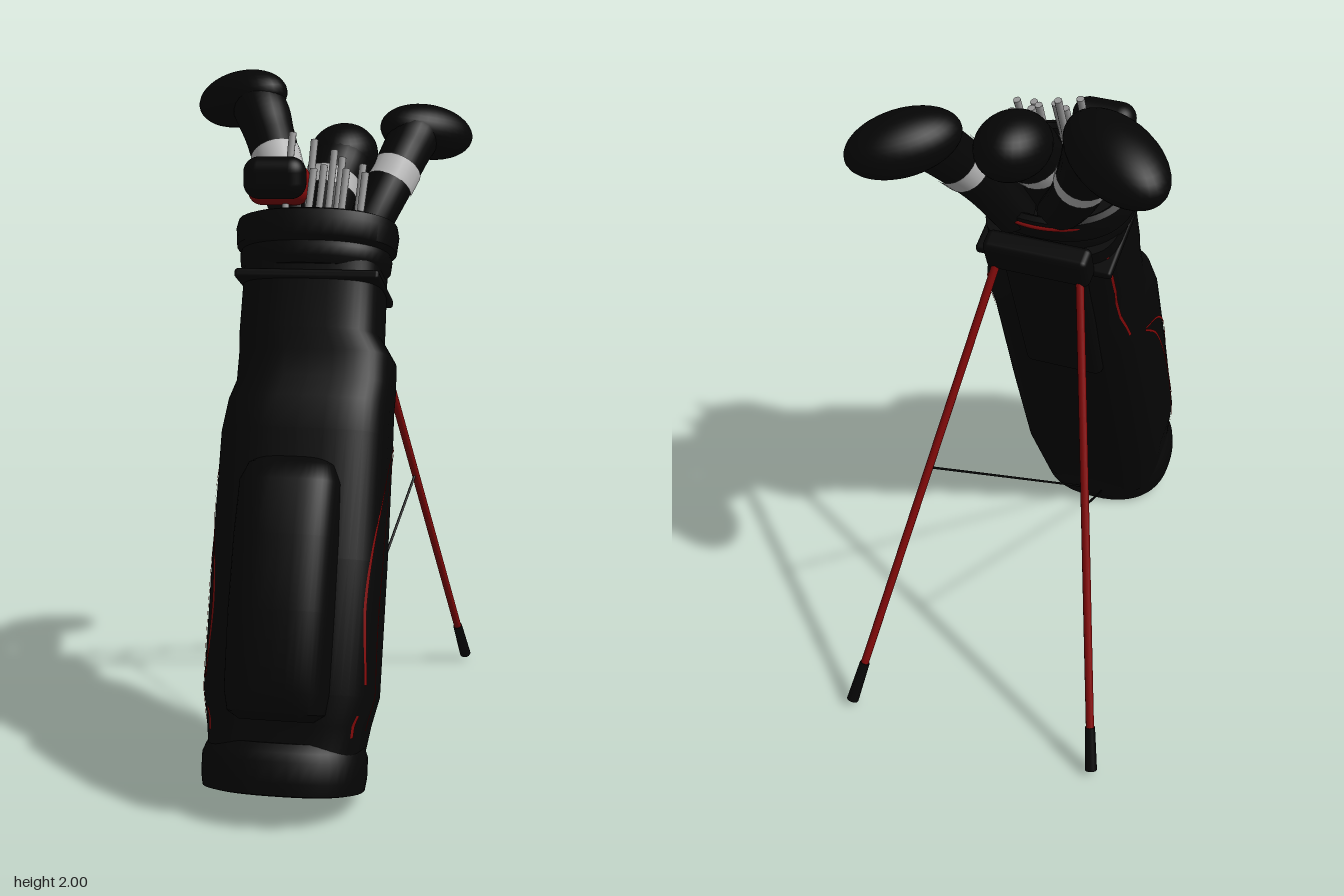
import * as THREE from 'three';
import { toCreasedNormals } from 'three/addons/utils/BufferGeometryUtils.js';
import { RoundedBoxGeometry } from 'three/addons/geometries/RoundedBoxGeometry.js';

const mat = (name, color, side = THREE.FrontSide) => {
  const m = new THREE.MeshStandardMaterial({ color, side });
  m.name = name;
  return m;
};
const V = (x, y, z) => new THREE.Vector3(x, y, z);

// Skin over rows of points; every row runs round the same way
function skin(rows, crease = 0.7) {
  const n = rows[0].length, pos = [], idx = [];
  rows.forEach(r => r.forEach(p => pos.push(p.x, p.y, p.z)));
  for (let i = 0; i < rows.length - 1; i++) {
    for (let j = 0; j < n; j++) {
      const a = i * n + j, b = i * n + (j + 1) % n;
      idx.push(a, a + n, b, b, a + n, b + n);
    }
  }
  const g = new THREE.BufferGeometry();
  g.setAttribute('position', new THREE.Float32BufferAttribute(pos, 3));
  g.setIndex(idx);
  return toCreasedNormals(g, crease);
}

// Superellipse sections [height, centreX, centreZ, radiusX, radiusZ], capped at both ends
function loft(sections, power, seg = 48) {
  const sp = v => Math.sign(v) * Math.pow(Math.abs(v), 2 / power);
  const first = sections[0], last = sections[sections.length - 1];
  const all = [[first[0], first[1], first[2], 0, 0], ...sections, [last[0], last[1], last[2], 0, 0]];
  return skin(all.map(([y, cx, cz, rx, rz]) => Array.from({ length: seg }, (_, j) => {
    const a = j / seg * Math.PI * 2;
    return V(cx + rx * sp(Math.cos(a)), y, cz + rz * sp(Math.sin(a)));
  })));
}

// Round tube of varying radius along points [x, y, z, r]; squared radii give domed ends
function sweep(pts, t0 = 0, t1 = 1, grow = 0, steps = 30, seg = 22) {
  const path = new THREE.CatmullRomCurve3(pts.map(p => V(p[0], p[1], p[2])));
  const size = new THREE.CatmullRomCurve3(pts.map(p => V(p[3] * p[3], 0, 0)));
  const rows = [];
  for (let i = 0; i <= steps; i++) {
    const k = t0 + (t1 - t0) * i / steps;
    const c = path.getPoint(k), t = path.getTangent(k);
    const w = V(1, 0, 0).cross(t).normalize(), u = t.clone().cross(w);
    const r = Math.sqrt(Math.max(0, size.getPoint(k).x)) + grow;
    rows.push(Array.from({ length: seg }, (_, j) => {
      const a = j / seg * Math.PI * 2;
      return c.clone().addScaledVector(u, r * Math.cos(a)).addScaledVector(w, r * Math.sin(a));
    }));
  }
  return skin(rows, 1.2);
}

function rod(from, to, r0, r1 = r0, seg = 12) {
  const d = to.clone().sub(from);
  const g = new THREE.CylinderGeometry(r1, r0, d.length(), seg);
  g.applyQuaternion(new THREE.Quaternion().setFromUnitVectors(V(0, 1, 0), d.normalize()));
  const m = from.clone().add(to).multiplyScalar(0.5);
  return g.translate(m.x, m.y, m.z);
}

// Egg shape with its long axis along dir, flattened in height
function egg(centre, dir, long, high, wide) {
  const x = V(...dir).normalize(), z = x.clone().cross(V(0, 1, 0)).normalize(), y = z.clone().cross(x);
  return new THREE.SphereGeometry(1, 32, 20).scale(long, high, wide)
    .applyMatrix4(new THREE.Matrix4().makeBasis(x, y, z).setPosition(...centre));
}

export function createModel() {
  const black = mat('black fabric', 0x050505);
  const red = mat('red', 0x800808, THREE.DoubleSide);
  const silver = mat('silver band', 0xb8b8b8);
  const steel = mat('steel', 0x9a9a9a);
  const model = new THREE.Group();
  model.name = 'standBag';
  const add = (parent, name, geo, m) => {
    const mesh = new THREE.Mesh(geo, m);
    mesh.name = name;
    parent.add(mesh);
    return mesh;
  };

  // Leaning bag: local y runs along its length
  const bag = new THREE.Group();
  bag.name = 'bag';
  bag.position.set(0, 0.068, 0.57);
  bag.rotation.x = -0.349;
  model.add(bag);

  const POWER = 3.5;
  const body = [
    [0.06, 0.037, -0.015, 0.205, 0.175], [0.16, 0.04, -0.012, 0.22, 0.18],
    [0.24, 0.045, 0, 0.236, 0.188], [0.6, 0.045, 0, 0.238, 0.19],
    [0.95, 0.045, 0, 0.236, 0.188], [1.04, 0.05, -0.005, 0.229, 0.183],
    [1.1, 0.058, -0.02, 0.222, 0.168], [1.18, 0.057, -0.022, 0.22, 0.167],
    [1.24, 0.037, -0.022, 0.203, 0.167], [1.45, 0.037, -0.018, 0.2, 0.17],
  ];
  add(bag, 'body', loft(body, POWER), black);
  const base = add(bag, 'base', loft([
    [0.002, 0.035, 0, 0.2, 0.175], [0.007, 0.035, 0, 0.22, 0.195], [0.04, 0.035, 0, 0.225, 0.2],
    [0.095, 0.035, 0, 0.225, 0.2], [0.118, 0.035, 0, 0.216, 0.19], [0.14, 0.035, -0.005, 0.205, 0.175],
  ], 2.4), black);
  base.position.set(0, -0.02, -0.008);
  base.rotation.x = 0.08;
  add(bag, 'frontPocket', loft([
    [0.165, 0.035, 0.16, 0.1, 0.07], [0.185, 0.035, 0.165, 0.13, 0.098], [0.24, 0.035, 0.165, 0.14, 0.122],
    [0.45, 0.035, 0.165, 0.142, 0.145], [0.65, 0.035, 0.16, 0.142, 0.137], [0.8, 0.035, 0.155, 0.138, 0.12],
    [0.85, 0.035, 0.145, 0.12, 0.09], [0.872, 0.035, 0.135, 0.09, 0.05],
  ], 3.2), black);
  add(bag, 'backPad', new RoundedBoxGeometry(0.25, 0.55, 0.06, 4, 0.025).translate(0.037, 1.12, -0.175), black);

  // Collar with an open mouth
  const ring = (y, rx, rz) => [y, 0.037, 0, rx, rz];
  add(bag, 'collar', loft([
    ring(1.42, 0.2, 0.16), ring(1.44, 0.216, 0.172), ring(1.47, 0.219, 0.174), ring(1.482, 0.216, 0.17),
    ring(1.495, 0.23, 0.182), ring(1.545, 0.235, 0.188), ring(1.57, 0.23, 0.183), ring(1.577, 0.212, 0.168),
    ring(1.565, 0.2, 0.156), ring(1.48, 0.195, 0.15),
  ], 2.3), black);
  add(bag, 'collarStrap', new RoundedBoxGeometry(0.41, 0.028, 0.35, 2, 0.01).translate(0.037, 1.39, -0.02), black);
  const trim = new THREE.CatmullRomCurve3(Array.from({ length: 13 }, (_, i) => {
    const a = Math.PI * (1.28 + 0.44 * i / 12);
    return V(0.037 + 0.235 * Math.cos(a), 1.553, 0.188 * Math.sin(a));
  }));
  add(bag, 'collarTrim', new THREE.TubeGeometry(trim, 24, 0.006, 6), red);

  // Piping laid on the side surface of the body
  const sideX = (y, z) => {
    let i = 0;
    while (i < body.length - 2 && body[i + 1][0] < y) i++;
    const k = (y - body[i][0]) / (body[i + 1][0] - body[i][0]);
    const [, cx, cz, rx, rz] = body[i].map((v, n) => v + (body[i + 1][n] - v) * k);
    const q = Math.min(1, Math.abs((z - cz) / rz));
    return [cx, rx * Math.pow(1 - Math.pow(q, POWER), 1 / POWER) + 0.003];
  };
  const pipings = [
    [[0.13, 0.27], [0.145, 0.49], [0.12, 0.69], [0.05, 0.855], [-0.055, 0.945]],
    [[0.055, 0.15], [0.08, 0.43], [0.055, 0.66], [0.01, 0.825], [-0.06, 0.94]],
    [[0.12, 0.13], [0.125, 0.17], [0.125, 0.19]],
    [[-0.125, 1.0], [-0.138, 1.2], [-0.142, 1.41]],
  ];
  for (const side of [1, -1]) {
    for (const pts of pipings) {
      const curve = new THREE.CatmullRomCurve3(pts.map(([z, y]) => V(0, y, z)));
      const pos = [], idx = [], n = 40;
      for (let i = 0; i <= n; i++) {
        const p = curve.getPoint(i / n), t = curve.getTangent(i / n);
        for (const e of [-0.004, 0.004]) {
          const y = p.y + t.z * e, z = p.z - t.y * e, [cx, dx] = sideX(y, z);
          pos.push(cx + side * dx, y, z);
        }
        if (i < n) idx.push(2 * i, 2 * i + 1, 2 * i + 2, 2 * i + 1, 2 * i + 3, 2 * i + 2);
      }
      const g = new THREE.BufferGeometry();
      g.setAttribute('position', new THREE.Float32BufferAttribute(pos, 3));
      g.setIndex(side > 0 ? idx : idx.reverse());
      g.computeVertexNormals();
      add(bag, 'sidePiping', g, red);
    }
  }

  // Stand: hinge, two legs with rubber feet, and cords
  add(bag, 'legHinge', new RoundedBoxGeometry(0.31, 0.11, 0.07, 3, 0.018).translate(0.037, 1.435, -0.207), black);
  for (const side of [1, -1]) {
    const top = V(0.037 + side * 0.122, 1.32, -0.115);
    const foot = V(0.035 + side * 0.387, 0.02, -0.748);
    const at = k => top.clone().lerp(foot, k);
    add(model, 'standLeg', rod(top, at(0.93), 0.012), red);
    add(model, 'legFoot', rod(at(0.91), foot, 0.015, 0.018), black);
    add(model, 'standCord', rod(at(0.455), V(0.037 + side * 0.04, 0.05, 0.365), 0.004, 0.004, 6), black);
  }

  // Padded head covers: a neck with a silver band, and an egg-shaped head
  const covers = [
    { neck: [[0, 1.47, -0.06, 0.06], [-0.08, 1.6, -0.15, 0.068], [-0.13, 1.71, -0.22, 0.072], [-0.17, 1.8, -0.288, 0.076],
      [-0.205, 1.87, -0.34, 0.084], [-0.24, 1.91, -0.38, 0.078], [-0.27, 1.92, -0.41, 0]], band: [0.29, 0.39],
    head: [[-0.283, 1.912, -0.42], [-0.75, -0.16, -0.57], 0.176, 0.086, 0.106] },
    { neck: [[0.12, 1.45, -0.07, 0.065], [0.18, 1.58, -0.14, 0.067], [0.222, 1.675, -0.21, 0.07], [0.25, 1.745, -0.27, 0.073],
      [0.27, 1.79, -0.31, 0.077], [0.285, 1.81, -0.34, 0.07], [0.3, 1.81, -0.37, 0]], band: [0.285, 0.39],
    head: [[0.305, 1.81, -0.373], [0.72, -0.14, -0.6], 0.158, 0.083, 0.098] },
    { neck: [[0.04, 1.47, 0.015, 0.065], [0.05, 1.59, -0.03, 0.076], [0.057, 1.66, -0.085, 0.082], [0.07, 1.71, -0.13, 0.088],
      [0.078, 1.735, -0.17, 0.085], [0.085, 1.74, -0.21, 0]], band: [0.288, 0.43],
    head: [[0.076, 1.745, -0.19], [0.12, 0.1, -0.9], 0.128, 0.092, 0.1] },
  ];
  for (const { neck, band, head } of covers) {
    add(model, 'headCoverNeck', sweep(neck), black);
    add(model, 'headCover', egg(...head), black);
    add(model, 'headCoverBand', sweep(neck, band[0], band[1], 0.004, 6), silver);
  }

  // Putter cover: black shell with a red back
  add(model, 'putterCover', new RoundedBoxGeometry(0.18, 0.12, 0.095, 5, 0.045).translate(-0.075, 1.685, 0.113), black);
  add(model, 'putterCoverBack', new RoundedBoxGeometry(0.18, 0.115, 0.095, 5, 0.04).translate(-0.075, 1.662, 0.044), red);

  // Steel club shafts standing in the bag, at the tip x, y, z
  const tips = [
    [-0.045, 1.81, -0.005], [0.02, 1.79, 0], [0.08, 1.76, 0.01], [0.105, 1.74, 0.02], [0.165, 1.72, 0.022],
    [0.035, 1.71, 0.1], [0.065, 1.72, 0.1], [0.13, 1.71, 0.105], [0.185, 1.7, 0.115],
  ];
  for (const [x, y, z] of tips) {
    const drop = y - 1.57;
    add(model, 'clubShaft', rod(V(x - 0.01, 1.57, z + 0.34 * drop), V(x, y, z), 0.01, 0.011, 10), steel);
  }
  return model;
}
